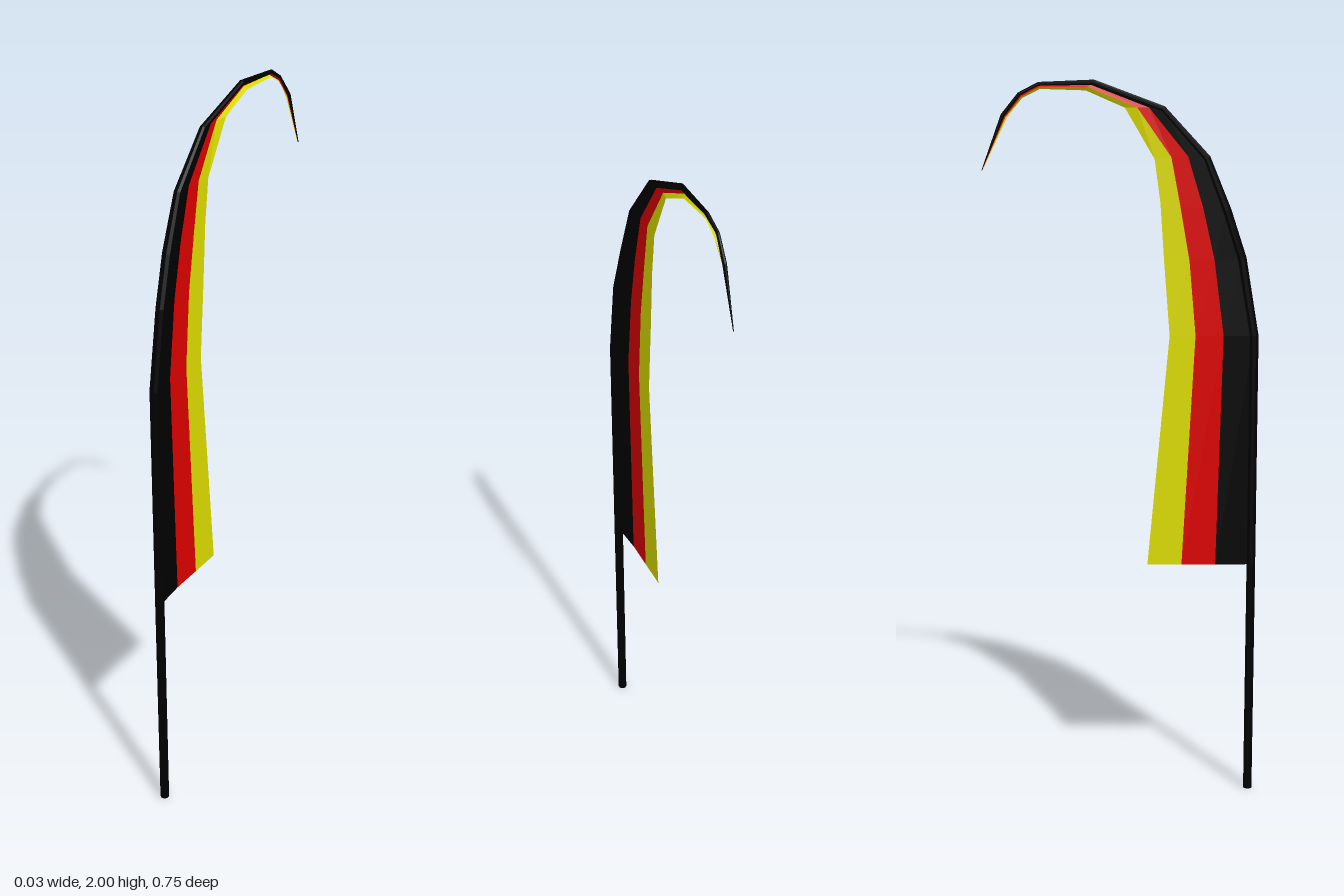
import * as THREE from 'three';

const black = new THREE.MeshStandardMaterial({ color: 0x000000, side: THREE.DoubleSide, flatShading: true });
const red = new THREE.MeshStandardMaterial({ color: 0xdd0000, side: THREE.DoubleSide, flatShading: true });
const yellow = new THREE.MeshStandardMaterial({ color: 0xdddd00, side: THREE.DoubleSide, flatShading: true });
black.name = 'black';
red.name = 'red';
yellow.name = 'yellow';

// Pole centre line: x, y, z, radius
const POLE = [
  [0.002, 0, 0.366, 0.0128],
  [0.002, 0.667, 0.366, 0.0128],
  [0.002, 1.314, 0.365, 0.0128],
  [0.002, 1.525, 0.329, 0.0128],
  [-0.004, 1.655, 0.286, 0.0125],
  [-0.006, 1.793, 0.231, 0.01],
  [-0.007, 1.922, 0.113, 0.008],
  [-0.007, 1.991, -0.073, 0.0075],
  [-0.005, 1.987, -0.221, 0.0055],
  [-0.009, 1.961, -0.273, 0.0045],
  [-0.006, 1.905, -0.318, 0.0055],
  [-0.005, 1.76, -0.376, 0.001],
];

// Stripe borders beside each pole point from the second on: y, z for black/red, red/yellow, free edge
const BORDERS = [
  [[0.667, 0.265], [0.667, 0.17], [0.667, 0.074]],
  [[1.314, 0.281], [1.314, 0.204], [1.314, 0.133]],
  [[1.52, 0.254], [1.517, 0.186], [1.515, 0.117]],
  [[1.66, 0.222], [1.665, 0.16], [1.675, 0.106]],
  [[1.797, 0.18], [1.795, 0.135], [1.79, 0.09]],
  [[1.925, 0.075], [1.925, 0.043], [1.925, 0.01]],
  [[1.985, -0.082], [1.979, -0.089], [1.97, -0.095]],
  [[1.983, -0.221], [1.979, -0.219], [1.974, -0.217]],
  [[1.957, -0.269], [1.954, -0.267], [1.951, -0.264]],
  [[1.902, -0.313], [1.901, -0.31], [1.899, -0.306]],
  [[1.76, -0.376], [1.76, -0.375], [1.76, -0.374]],
];

// The cloth is flat below and slightly folded along the arch
const FLAT_X = [-0.006, -0.006, -0.006];
const FOLD_X = [-0.006, -0.01, -0.003];

// Surface through rows of points; each row has the same length
function loft(rows) {
  const n = rows[0].length;
  const index = [];
  for (let i = 0; i < rows.length - 1; i++) {
    for (let j = 0; j < n - 1; j++) {
      const a = i * n + j, b = a + 1, c = a + n, d = c + 1;
      index.push(a, c, b, b, c, d);
    }
  }
  const geometry = new THREE.BufferGeometry();
  geometry.setAttribute('position', new THREE.Float32BufferAttribute(rows.flat(2), 3));
  geometry.setIndex(index);
  geometry.computeVertexNormals();
  return geometry;
}

function addMesh(parent, geometry, material, name) {
  const mesh = new THREE.Mesh(geometry, material);
  mesh.name = name;
  parent.add(mesh);
}

// Tapering eight-sided pole, closed at both ends
function poleGeometry() {
  const sides = 8;
  const rings = POLE.map(([x, y, z, r], i) => {
    const p = POLE[Math.max(i - 1, 0)], q = POLE[Math.min(i + 1, POLE.length - 1)];
    const length = Math.hypot(q[1] - p[1], q[2] - p[2]);
    const ty = (q[1] - p[1]) / length, tz = (q[2] - p[2]) / length;
    return Array.from({ length: sides + 1 }, (_, k) => {
      const a = ((k + 0.5) / sides) * Math.PI * 2;
      const u = Math.cos(a) * r, v = Math.sin(a) * r;
      return [x + u, y - v * tz, z + v * ty];
    });
  });
  const cap = ([x, y, z]) => Array.from({ length: sides + 1 }, () => [x, y, z]);
  return loft([cap(POLE[0]), ...rings, cap(POLE[POLE.length - 1])]);
}

export function createModel() {
  const model = new THREE.Group();
  model.name = 'featherFlag';
  addMesh(model, poleGeometry(), black, 'pole');

  // Cloth made of three stripes following the pole
  const cloth = new THREE.Group();
  cloth.name = 'cloth';
  const columns = BORDERS.map((row, i) => {
    const [x, y, z] = POLE[i + 1];
    const across = i >= 5 && i <= 8 ? FOLD_X : FLAT_X;
    return [[x, y, z], ...row.map(([by, bz], k) => [across[k], by, bz])];
  });
  [['blackStripe', black], ['redStripe', red], ['yellowStripe', yellow]].forEach(([name, material], s) => {
    addMesh(cloth, loft(columns.map((c) => [c[s], c[s + 1]])), material, name);
  });
  model.add(cloth);
  return model;
}
